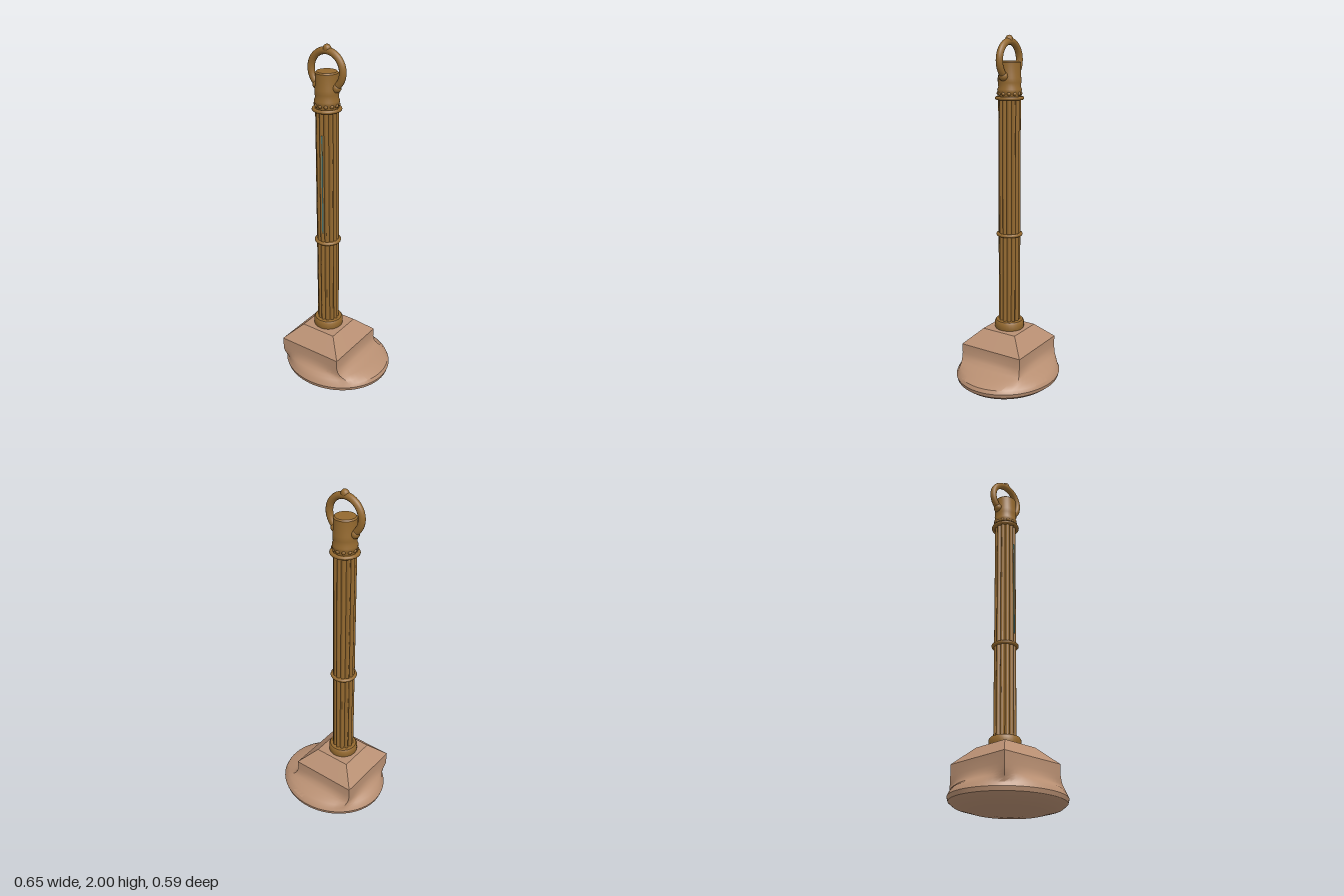
import * as THREE from 'three';
import { toCreasedNormals } from 'three/addons/utils/BufferGeometryUtils.js';

const AXIS_X = -0.05, AXIS_Z = 0.025;

export function createModel() {
  const group = new THREE.Group();
  group.name = 'ringPost';
  const mat = (name, color) => {
    const m = new THREE.MeshStandardMaterial({ color });
    m.name = name;
    return m;
  };
  const bronze = mat('bronze', 0x94692f);
  const stone = mat('stone', 0xb88f72);
  const teal = mat('teal', 0x5f9a98);

  const add = (name, geometry, material, x = AXIS_X, y = 0, z = AXIS_Z) => {
    const mesh = new THREE.Mesh(geometry, material);
    mesh.name = name;
    mesh.position.set(x, y, z);
    group.add(mesh);
    return mesh;
  };
  const lathe = (pts) =>
    toCreasedNormals(new THREE.LatheGeometry(pts.map(([r, y]) => new THREE.Vector2(r, y)), 32), 0.6);

  // Foot: oval cushion flowing into an off-centre square plinth.
  // Each ring: [height, scale of the oval, blend towards the square, half-width of the square]
  const rings = [
    [0, 0, 0, 0], [0.004, 0.3, 0, 0], [0.016, 0.65, 0, 0], [0.038, 0.9, 0, 0], [0.058, 0.98, 0, 0],
    [0.08, 1, 0, 0], [0.1, 0.97, 0, 0], [0.118, 0.97, 0.22, 0.197], [0.132, 0.97, 0.5, 0.197],
    [0.145, 0.97, 0.75, 0.197], [0.165, 1, 0.92, 0.197], [0.19, 1, 1, 0.197], [0.245, 1, 1, 0.198],
    [0.332, 1, 1, 0.108], [0.332, 1, 1, 0],
  ];
  const SEG = 64, pos = [], idx = [];
  rings.forEach(([y, scale, blend, half], i) => {
    for (let j = 0; j < SEG; j++) {
      const a = (j / SEG) * Math.PI * 2, c = Math.cos(a), s = Math.sin(a);
      const k = half / Math.max(Math.abs(c), Math.abs(s));
      pos.push(
        THREE.MathUtils.lerp(0.325 * scale * c, -0.047 + k * c, blend), y,
        THREE.MathUtils.lerp(0.294 * scale * s, 0.026 + k * s, blend));
      if (i < rings.length - 1) {
        const p = i * SEG + j, n = i * SEG + (j + 1) % SEG;
        idx.push(p, p + SEG, n, n, p + SEG, n + SEG);
      }
    }
  });
  const foot = new THREE.BufferGeometry();
  foot.setAttribute('position', new THREE.Float32BufferAttribute(pos, 3));
  foot.setIndex(idx);
  add('foot', toCreasedNormals(foot, 0.55), stone, 0, 0, 0);

  // Collar at the bottom of the shaft
  add('bottomCollar', lathe([[0.08, 0.325], [0.085, 0.335], [0.085, 0.37], [0.078, 0.381], [0.05, 0.383]]), bronze);

  // Fluted shaft: twelve rounded lobes with sharp grooves
  const shaft = new THREE.CylinderGeometry(0.06, 0.06, 1.31, 96, 1, true);
  const p = shaft.attributes.position;
  for (let i = 0; i < p.count; i++) {
    const a = Math.atan2(p.getX(i), p.getZ(i));
    const r = 0.05 + 0.012 * Math.abs(Math.cos(6 * a));
    p.setX(i, r * Math.sin(a));
    p.setZ(i, r * Math.cos(a));
  }
  add('shaft', toCreasedNormals(shaft, 0.6), bronze, AXIS_X, 1.025);

  // Thin bands around the shaft
  const band = (name, y, r) => {
    add(name, new THREE.TorusGeometry(r - 0.01, 0.01, 10, 40).rotateX(Math.PI / 2), bronze, AXIS_X, y);
    add(name + 'Core', new THREE.CylinderGeometry(r - 0.01, r - 0.01, 0.014, 32), bronze, AXIS_X, y);
  };
  band('middleBand', 0.9, 0.075);
  band('topBand', 1.667, 0.08);

  // Head above the shaft, with a row of beads
  add('head', lathe([
    [0.06, 1.665], [0.06, 1.685], [0.066, 1.7], [0.067, 1.715], [0.061, 1.728], [0.064, 1.75],
    [0.064, 1.775], [0.061, 1.79], [0.061, 1.857], [0.054, 1.864], [0, 1.866],
  ]), bronze);
  const bead = new THREE.SphereGeometry(0.011, 10, 8);
  for (let i = 0; i < 12; i++) {
    const a = (i / 12) * Math.PI * 2;
    add('bead', bead, bronze, AXIS_X + 0.06 * Math.sin(a), 1.692, AXIS_Z + 0.06 * Math.cos(a));
  }

  // Hanging ring through the head, with a knob on top and lugs at the sides
  add('ring', new THREE.TorusGeometry(0.099, 0.019, 12, 48), bronze, AXIS_X, 1.868);
  add('ringKnob', new THREE.SphereGeometry(0.023, 14, 10), bronze, AXIS_X + 0.003, 1.977).scale.z = 0.9;
  for (const side of [-1, 1]) {
    add('ringLug', new THREE.SphereGeometry(0.026, 14, 10), bronze, AXIS_X + side * 0.06, 1.785);
  }

  // Narrow inlaid line on the front of the shaft
  add('inlayLine', new THREE.BoxGeometry(0.006, 0.57, 0.004), teal, AXIS_X + 0.01, 1.25, AXIS_Z + 0.061);

  return group;
}
